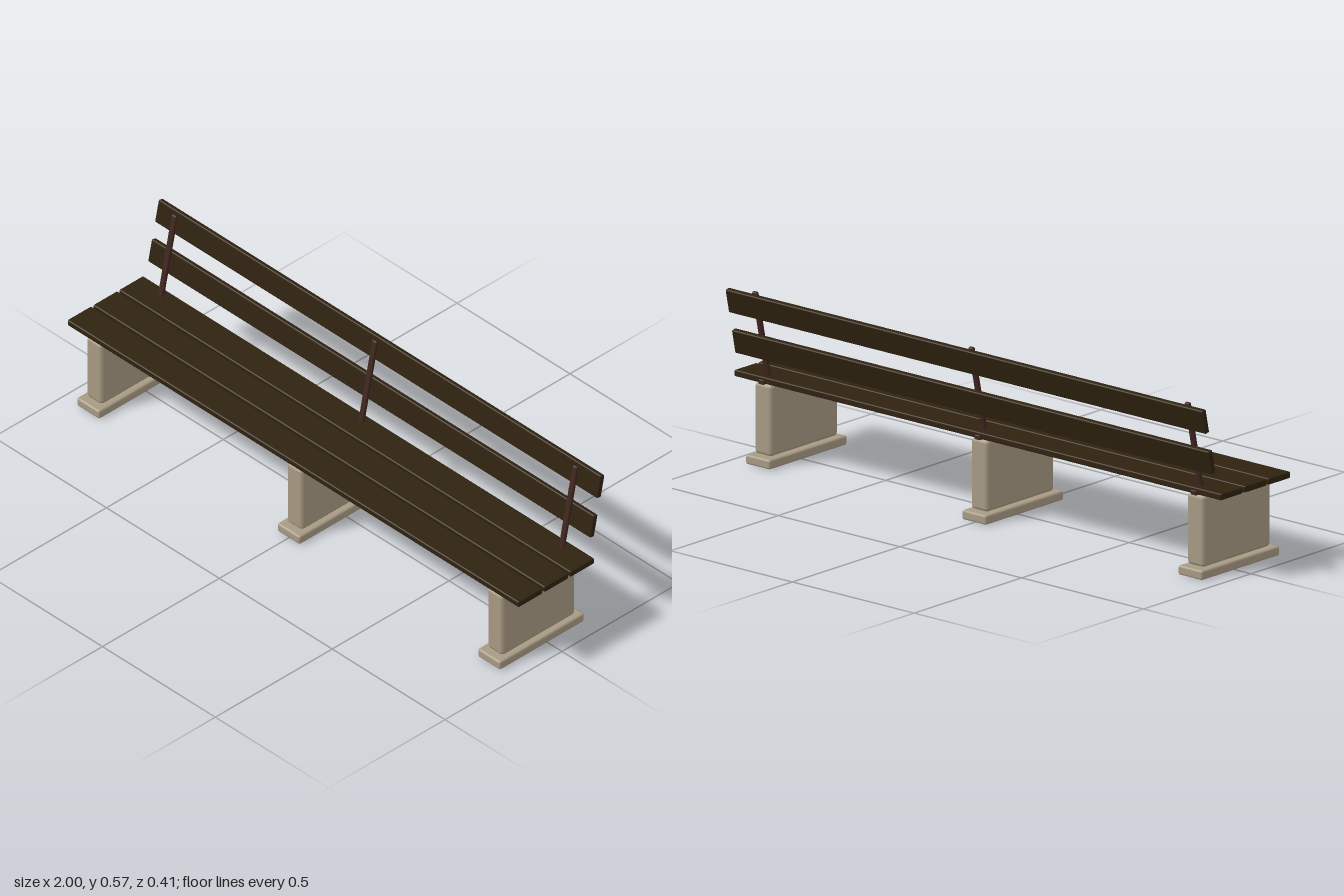
import * as THREE from 'three';
import { RoundedBoxGeometry } from 'three/addons/geometries/RoundedBoxGeometry.js';

export function createModel() {
  const concrete = new THREE.MeshStandardMaterial({ color: 0xa89a84 });
  concrete.name = 'concrete';
  const wood = new THREE.MeshStandardMaterial({ color: 0x2f2210 });
  wood.name = 'dark wood';
  const metal = new THREE.MeshStandardMaterial({ color: 0x40261f });
  metal.name = 'rusty metal';

  const bench = new THREE.Group();
  bench.name = 'bench';

  // Box with chamfered edges, placed by its centre
  function block(parent, name, material, size, position, bevel, tilt = 0) {
    const mesh = new THREE.Mesh(new RoundedBoxGeometry(...size, 1, bevel), material);
    mesh.name = name;
    mesh.position.set(...position);
    mesh.rotation.x = tilt;
    parent.add(mesh);
    return mesh;
  }

  const lean = -0.21; // backrest leans towards -z

  // Three supports: footing, pillar, metal plate and backrest post
  for (const x of [-0.888, 0, 0.888]) {
    const support = new THREE.Group();
    support.name = 'support';
    support.position.x = x;
    bench.add(support);
    block(support, 'footing', concrete, [0.1, 0.031, 0.362], [0, 0.0155, 0.024], 0.007);
    block(support, 'pillar', concrete, [0.07, 0.231, 0.313], [0, 0.1475, 0.0235], 0.012);
    block(support, 'seatPlate', metal, [0.055, 0.009, 0.29], [0, 0.2615, 0.024], 0.003);
    block(support, 'postBracket', metal, [0.022, 0.016, 0.042], [0, 0.27, -0.121], 0.003);
    block(support, 'backPost', metal, [0.02, 0.304, 0.012], [0, 0.418, -0.136], 0.004, lean);
  }

  // Seat slats
  for (const z of [0.134, 0.023, -0.088]) {
    block(bench, 'seatSlat', wood, [2, 0.021, 0.102], [0, 0.2765, z], 0.004);
  }

  // Backrest slats behind the posts
  for (const [y, z] of [[0.3895, -0.157], [0.5265, -0.1865]]) {
    block(bench, 'backSlat', wood, [1.96, 0.079, 0.018], [0, y, z], 0.004, lean);
  }

  return bench;
}
